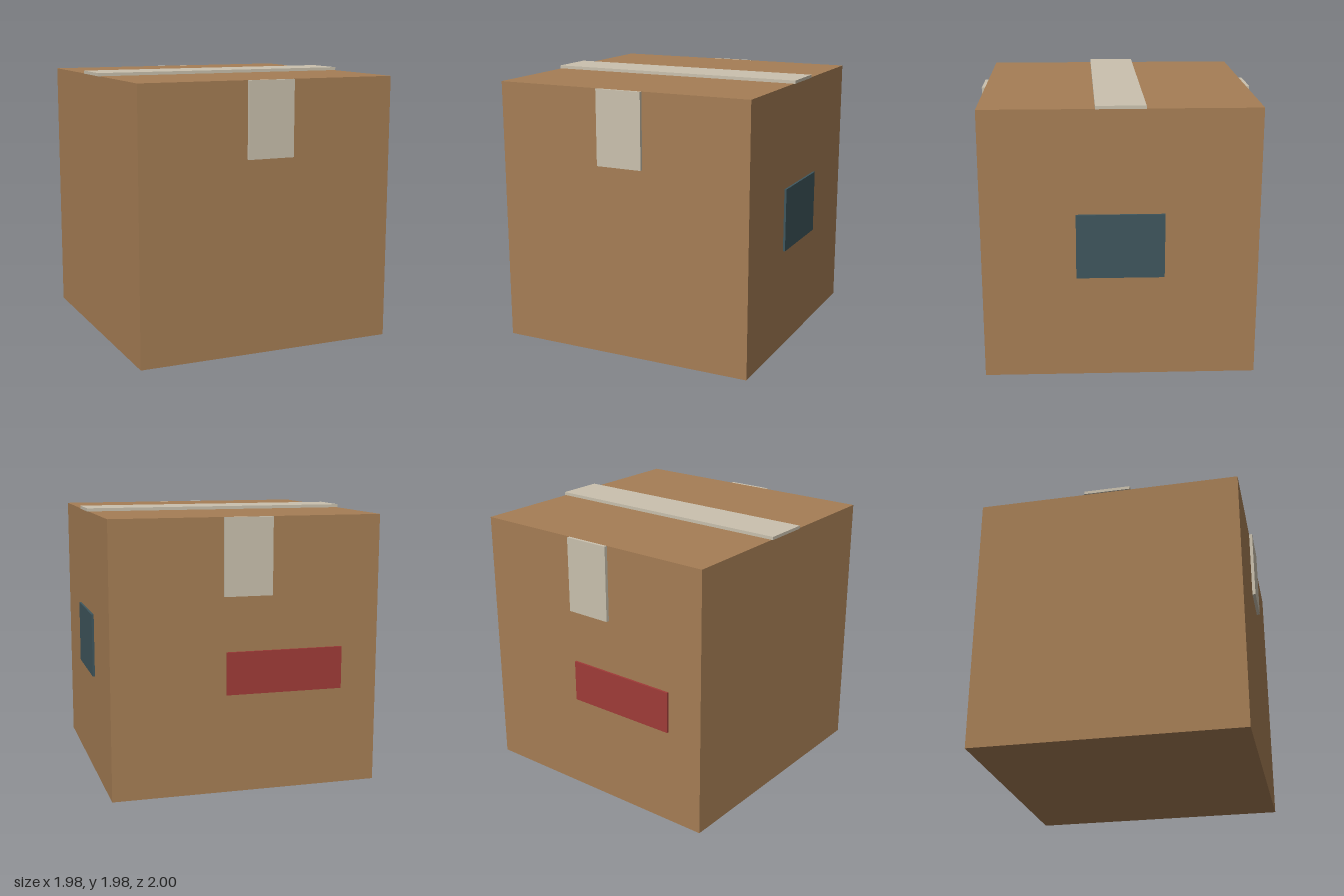
import * as THREE from 'three';

export function createModel() {
  const group = new THREE.Group();
  const material = (color) => new THREE.MeshStandardMaterial({ color });
  const cardboard = material(0xa67e55);
  const tape = material(0xcac1ae);
  const teal = material(0x3f565d);
  const red = material(0xa03c38);

  // Adds a block spanning the given minimum and maximum corners
  function block(name, mat, min, max) {
    const size = max.map((v, i) => v - min[i]);
    const mesh = new THREE.Mesh(new THREE.BoxGeometry(...size), mat);
    mesh.position.set(...max.map((v, i) => (v + min[i]) / 2));
    mesh.name = name;
    group.add(mesh);
  }

  // Carton
  block('carton', cardboard, [-0.98, 0, -0.976], [0.972, 1.957, 0.976]);

  // Tape across the top, with a tab on the front and back
  block('topTape', tape, [-0.99, 1.957, -0.174], [0.982, 1.98, 0.174]);
  block('frontTape', tape, [-0.178, 1.41, 0.976], [0.17, 1.957, 1]);
  block('backTape', tape, [-0.178, 1.41, -1], [0.17, 1.957, -0.976]);

  // Shipping label on the left side and warning label on the back
  block('sideLabel', teal, [0.972, 0.747, -0.312], [0.988, 1.213, 0.312]);
  block('backLabel', red, [-0.705, 0.712, -0.992], [0.15, 1.018, -0.976]);

  return group;
}
